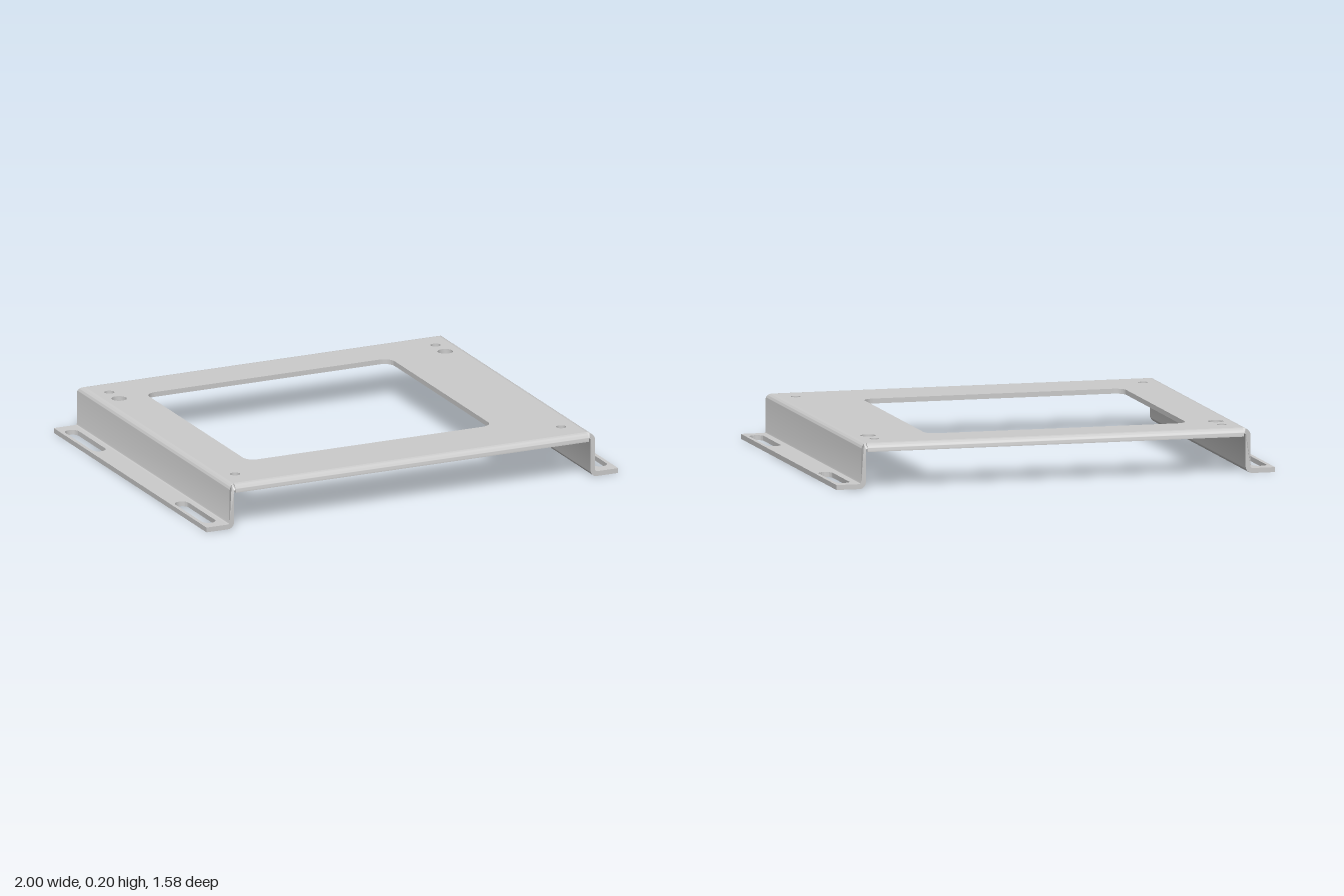
import * as THREE from 'three';
import { toCreasedNormals } from 'three/addons/utils/BufferGeometryUtils.js';

const T = 0.022;            // sheet thickness
const RO = 0.03;            // outer bend radius
const RI = RO - T;          // inner bend radius
const TOP = 0.2;            // height of the top face
const DEPTH = 0.788;        // half depth
const BX = 0.858;           // where the side bends start
const BZ = DEPTH - RO;      // where the front and back bends start
const Q = Math.PI / 2;

const material = new THREE.MeshStandardMaterial({ color: 0xcccccc });

function mesh(name, geometry) {
  const m = new THREE.Mesh(toCreasedNormals(geometry, 0.6), material);
  m.name = name;
  return m;
}

function extrude(shape, depth) {
  return new THREE.ExtrudeGeometry(shape, { depth, bevelEnabled: false, curveSegments: 10 });
}

// Rounded rectangle traced in plan; z is negated so it lies flat after rotation
function roundRect(path, x0, x1, z0, z1, r) {
  const y0 = -z1, y1 = -z0;
  path.moveTo(x0 + r, y0);
  path.lineTo(x1 - r, y0);
  path.absarc(x1 - r, y0 + r, r, -Q, 0, false);
  path.lineTo(x1, y1 - r);
  path.absarc(x1 - r, y1 - r, r, 0, Q, false);
  path.lineTo(x0 + r, y1);
  path.absarc(x0 + r, y1 - r, r, Q, 2 * Q, false);
  path.lineTo(x0, y0 + r);
  path.absarc(x0 + r, y0 + r, r, 2 * Q, 3 * Q, false);
  return path;
}

function rect(x0, x1, z0, z1) {
  return new THREE.Shape([[x0, -z1], [x1, -z1], [x1, -z0], [x0, -z0]].map(p => new THREE.Vector2(...p)));
}

function flatSheet(name, shape, y) {
  return mesh(name, extrude(shape, T).rotateX(-Q).translate(0, y, 0));
}

// Flat top with the large window and the mounting holes
function topPlate() {
  const shape = rect(-BX, BX, -BZ, BZ);
  shape.holes.push(roundRect(new THREE.Path(), -0.663, 0.528, -0.566, 0.497, 0.05));
  for (const x of [-0.795, 0.79]) {
    for (const [z, r] of [[-0.65, 0.022], [-0.55, 0.034], [0.645, 0.022]]) {
      shape.holes.push(new THREE.Path().absarc(x, -z, r, 0, 4 * Q, false));
    }
  }
  return flatSheet('topPlate', shape, TOP - T);
}

// Short folded edge along the front
function lip() {
  const c = TOP - RO, bottom = 0.163;
  const s = new THREE.Shape();
  s.moveTo(BZ, TOP);
  s.absarc(BZ, c, RO, Q, 0, true);
  s.lineTo(DEPTH, bottom);
  s.lineTo(DEPTH - T, bottom);
  s.lineTo(DEPTH - T, c);
  s.absarc(BZ, c, RI, 0, Q, false);
  return mesh('foldedLip', extrude(s, 2 * BX).translate(0, 0, -BX).rotateY(-Q));
}

// Side wall with its two bends; the upper corners are rounded off
function sideWall() {
  const c = TOP - RO, fx = BX + RO + RI;
  const s = new THREE.Shape();
  s.moveTo(BX, TOP);
  s.absarc(BX, c, RO, Q, 0, true);
  s.lineTo(BX + RO, RO);
  s.absarc(fx, RO, RI, 2 * Q, 3 * Q, false);
  s.lineTo(fx, 0);
  s.absarc(fx, RO, RO, 3 * Q, 2 * Q, true);
  s.lineTo(BX + RI, c);
  s.absarc(BX, c, RI, 0, Q, false);
  const geometry = extrude(s, 2 * DEPTH).translate(0, 0, -DEPTH);
  const p = geometry.attributes.position;
  for (let i = 0; i < p.count; i++) {
    const h = Math.min(RO, Math.max(0, p.getY(i) - c));
    p.setZ(i, Math.sign(p.getZ(i)) * (BZ + Math.sqrt(RO * RO - h * h)));
  }
  return mesh('sideWall', geometry);
}

// Mounting foot with two long slots
function foot() {
  const shape = rect(BX + RO + RI, 1, -DEPTH, DEPTH);
  for (const [z0, z1] of [[-0.733, -0.4], [0.4, 0.733]]) {
    shape.holes.push(roundRect(new THREE.Path(), 0.919, 0.983, z0, z1, 0.0319));
  }
  return flatSheet('mountingFoot', shape, 0);
}

export function createModel() {
  const model = new THREE.Group();
  model.name = 'mountingBracket';
  model.add(topPlate());
  // The folded edges repeat after half a turn
  ['leftFront', 'rightBack'].forEach((name, i) => {
    const half = new THREE.Group();
    half.name = name + 'Folds';
    half.rotation.y = i * Math.PI;
    half.add(lip(), sideWall(), foot());
    model.add(half);
  });
  return model;
}
